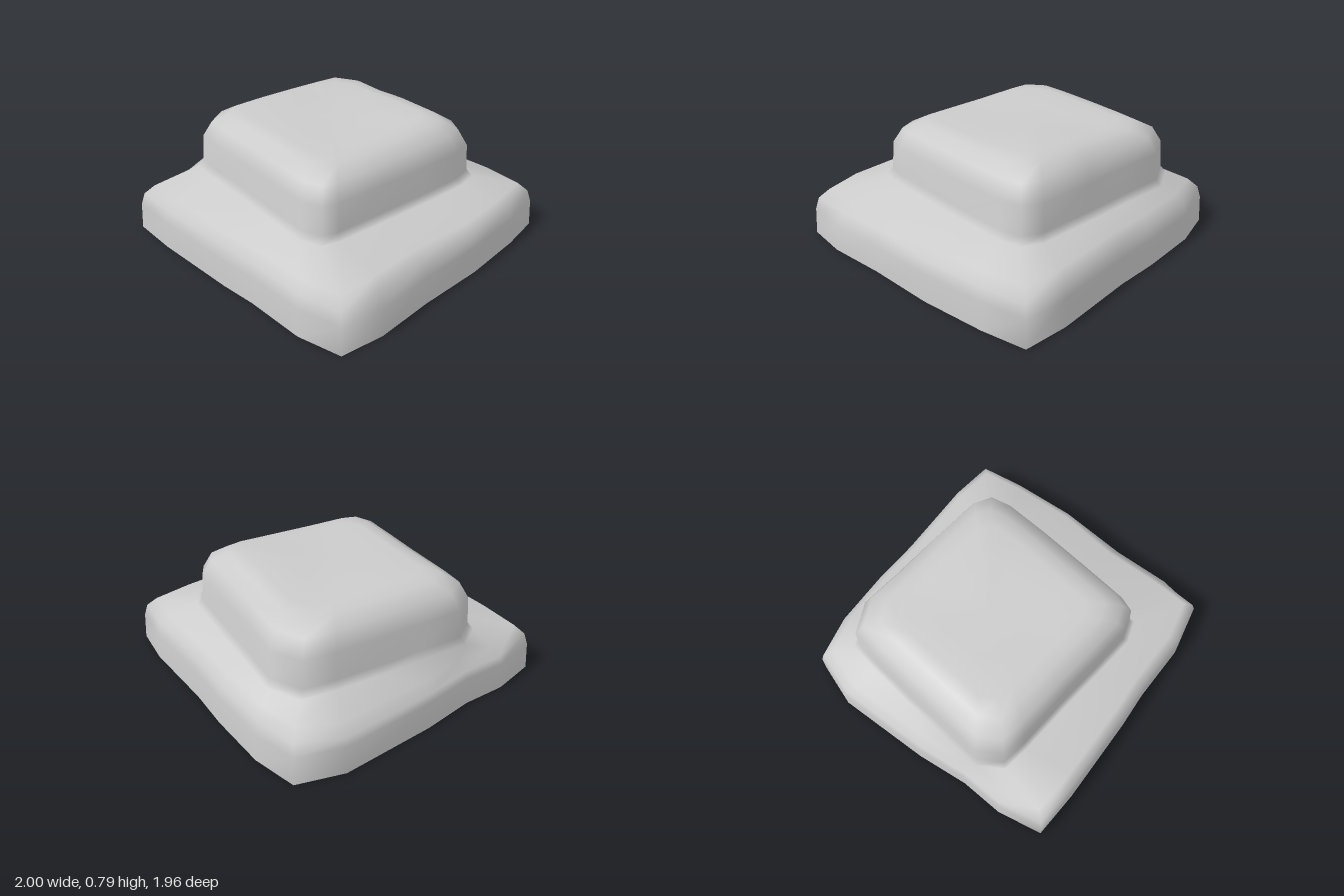
import * as THREE from 'three';

// Plan outlines (x, z), running from the back left corner around the back, +x side, front and -x side
const BASE = [
  [-0.90, -0.92], [-0.61, -0.98], [-0.20, -0.98], [0.10, -0.96], [0.65, -0.96],
  [0.94, -0.92], [0.98, -0.63], [1.00, -0.20], [0.98, 0.25], [0.985, 0.64],
  [0.935, 0.92], [0.65, 0.975], [0.25, 0.96], [0.00, 0.97], [-0.60, 0.965],
  [-0.915, 0.94], [-0.97, 0.64], [-0.955, 0.35], [-0.99, 0.00], [-1.00, -0.63],
];
const TIER = [
  [-0.69, -0.70], [-0.49, -0.79], [-0.20, -0.75], [0.10, -0.72], [0.50, -0.67],
  [0.61, -0.60], [0.635, -0.46], [0.61, -0.15], [0.57, 0.20], [0.53, 0.52],
  [0.49, 0.62], [0.36, 0.66], [0.10, 0.63], [-0.20, 0.59], [-0.57, 0.55],
  [-0.74, 0.52], [-0.83, 0.36], [-0.80, 0.10], [-0.77, -0.20], [-0.73, -0.50],
];
const CENTRE = [-0.1, -0.06];

// Each level: outline, inset from the outline edge, height
const LEVELS = [
  [BASE, 0, 0], [BASE, 0.01, 0.18], [BASE, 0.03, 0.26], [BASE, 0.085, 0.32],
  [TIER, -0.03, 0.375], [TIER, 0, 0.42], [TIER, 0.01, 0.60],
  [TIER, 0.06, 0.70], [TIER, 0.15, 0.752], [TIER, 0.24, 0.763], [TIER, 0.42, 0.76],
];

// Gentle swell on the crown, highest towards the back
const swell = (x, z) => 0.032 * Math.exp(-((x - 0.22) ** 2 + (z + 0.45) ** 2) / 0.09)
  + 0.012 * Math.exp(-((x + 0.5) ** 2 + (z - 0.1) ** 2) / 0.1);

function levelPoint([outline, inset, y], j) {
  const [cx, cz] = outline === TIER ? CENTRE : [0, 0];
  const half = outline === TIER ? 0.68 : 0.98;
  const s = 1 - inset / half;
  let x = cx + (outline[j][0] - cx) * s;
  const z = cz + (outline[j][1] - cz) * s;
  // Worn hollow on the +x rim and a lower rim on the -x side
  if (outline === BASE && y > 0.25) {
    if (j === 8 || j === 9) x -= 0.03;
    if (j >= 16) y -= 0.035;
  }
  if (y > 0.65) y += swell(x, z);
  return [x, y, z];
}

export function createModel() {
  const n = BASE.length;
  const positions = [];
  const index = [];
  for (const level of LEVELS) {
    for (let j = 0; j < n; j++) positions.push(...levelPoint(level, j));
  }
  // Walls, ledge and shoulder between successive levels
  for (let i = 0; i < LEVELS.length - 1; i++) {
    for (let j = 0; j < n; j++) {
      const a = i * n + j;
      const b = i * n + (j + 1) % n;
      index.push(a, a + n, b, b, a + n, b + n);
    }
  }
  // Crown cap; the bottom stays open
  const last = (LEVELS.length - 1) * n;
  positions.push(CENTRE[0], 0.762, CENTRE[1]);
  for (let j = 0; j < n; j++) index.push(last + j, LEVELS.length * n, last + (j + 1) % n);

  const geometry = new THREE.BufferGeometry();
  geometry.setAttribute('position', new THREE.Float32BufferAttribute(positions, 3));
  geometry.setIndex(index);
  geometry.computeVertexNormals();

  const shell = new THREE.Mesh(geometry, new THREE.MeshStandardMaterial({
    color: 0xcccccc, side: THREE.DoubleSide,
  }));
  shell.name = 'steppedRockShell';
  const group = new THREE.Group();
  group.name = 'steppedRock';
  group.add(shell);
  return group;
}
